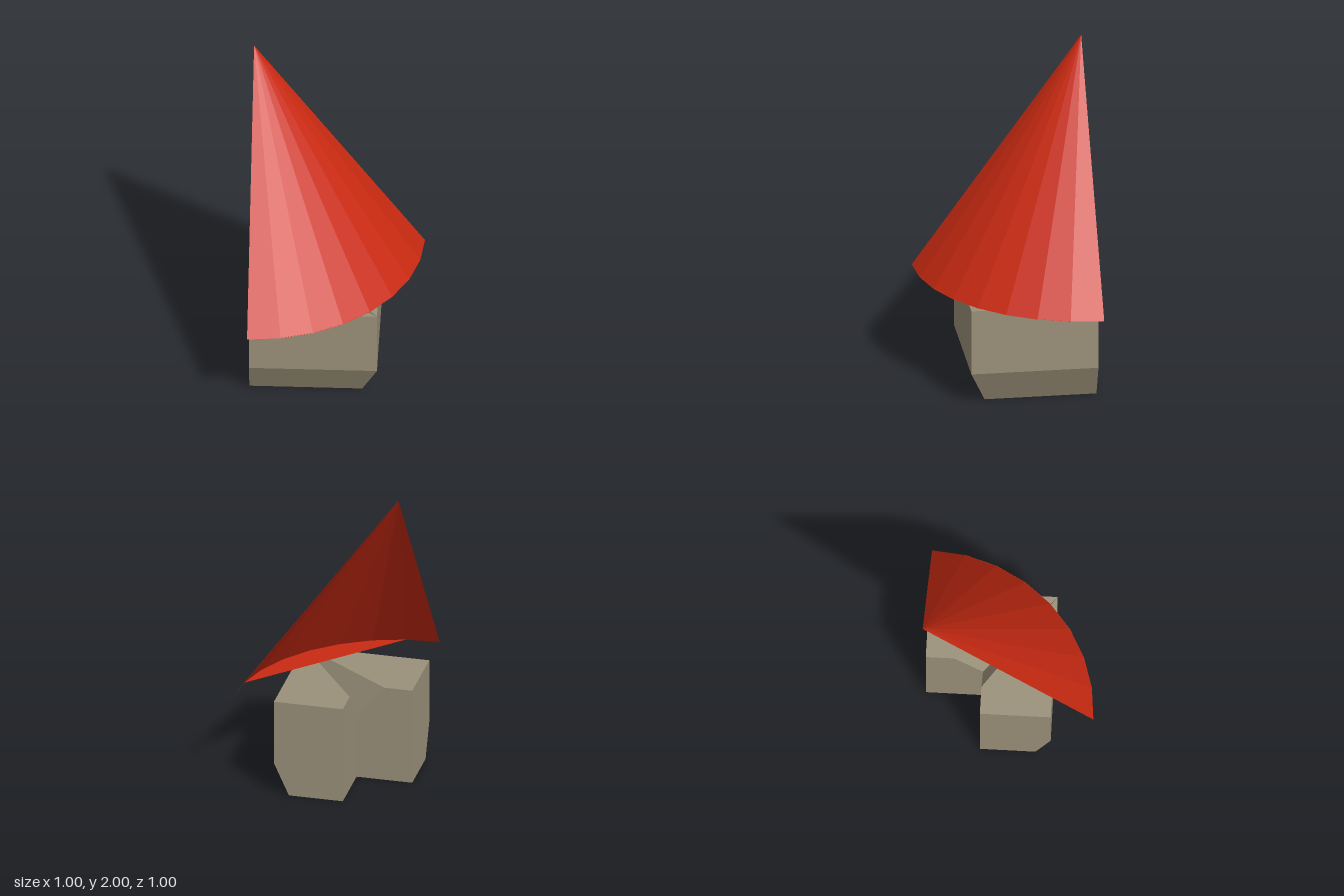
import * as THREE from 'three';

const red = new THREE.MeshStandardMaterial({ color: 0xca2a12, flatShading: true, side: THREE.DoubleSide });
red.name = 'roofRed';
const stone = new THREE.MeshStandardMaterial({ color: 0x9b917a, flatShading: true, side: THREE.DoubleSide });
stone.name = 'wallStone';

// Flat-shaded geometry from convex polygons, each split as a fan
function fromPolygons(polygons) {
  const pos = [];
  for (const p of polygons)
    for (let k = 1; k < p.length - 1; k++) pos.push(...p[0], ...p[k], ...p[k + 1]);
  const geo = new THREE.BufferGeometry();
  geo.setAttribute('position', new THREE.Float32BufferAttribute(pos, 3));
  geo.computeVertexNormals();
  return geo;
}

function add(parent, name, geo, mat) {
  const mesh = new THREE.Mesh(geo, mat);
  mesh.name = name;
  parent.add(mesh);
  return mesh;
}

export function createModel() {
  const model = new THREE.Group();
  model.name = 'cornerRoof';

  // All parts are laid out from the inner corner, under the roof's tip
  const corner = new THREE.Group();
  corner.name = 'cornerPiece';
  corner.position.set(-0.5, 0, -0.5);
  model.add(corner);

  // Quarter cone roof
  const steps = 8, eave = 0.6, height = 1.4;
  const cone = new THREE.ConeGeometry(1, height, steps, 1, true, 0, Math.PI / 2);
  add(corner, 'roof', cone, red).position.y = eave + height / 2;

  // Flat soffit closing the middle of the eave
  const soffit = [];
  for (let k = steps - 1; k >= 1; k--) {
    const a = (k / steps) * Math.PI / 2;
    soffit.push([Math.cos(a), eave + 0.002, Math.sin(a)]);
  }
  add(corner, 'soffit', fromPolygons([soffit]), red);

  // One arm of the L-shaped wall: inner face i, outer face o, foot b, dip start h
  const i = 0.335, o = 0.75, b = 0.66, h = 0.167, t = eave, s = 0.2, d = 0.4;
  const arm = [
    [[i, 0, 0], [i, t, 0], [o, t, 0], [o, s, 0], [b, 0, 0]], // end
    [[o, s, 0], [o, t, 0], [o, t, o], [o, s, o]],            // outer face
    [[b, 0, 0], [o, s, 0], [o, s, o], [b, 0, b]],            // sloped foot
    [[i, 0, 0], [b, 0, 0], [b, 0, i], [i, 0, i]],            // underside
    [[i, 0, 0], [i, 0, i], [i, d, i], [i, t, h], [i, t, 0]], // inner face
    [[i, t, 0], [i, t, h], [o, t, o], [o, t, 0]],            // top
    [[i, d, i], [o, t, o], [i, t, h]],                       // valley
  ];
  // The other arm mirrors across the diagonal
  const mirrored = arm.map(p => p.map(([x, y, z]) => [z, y, x]).reverse());
  add(corner, 'sideWall', fromPolygons(arm), stone);
  add(corner, 'frontWall', fromPolygons(mirrored), stone);

  return model;
}
